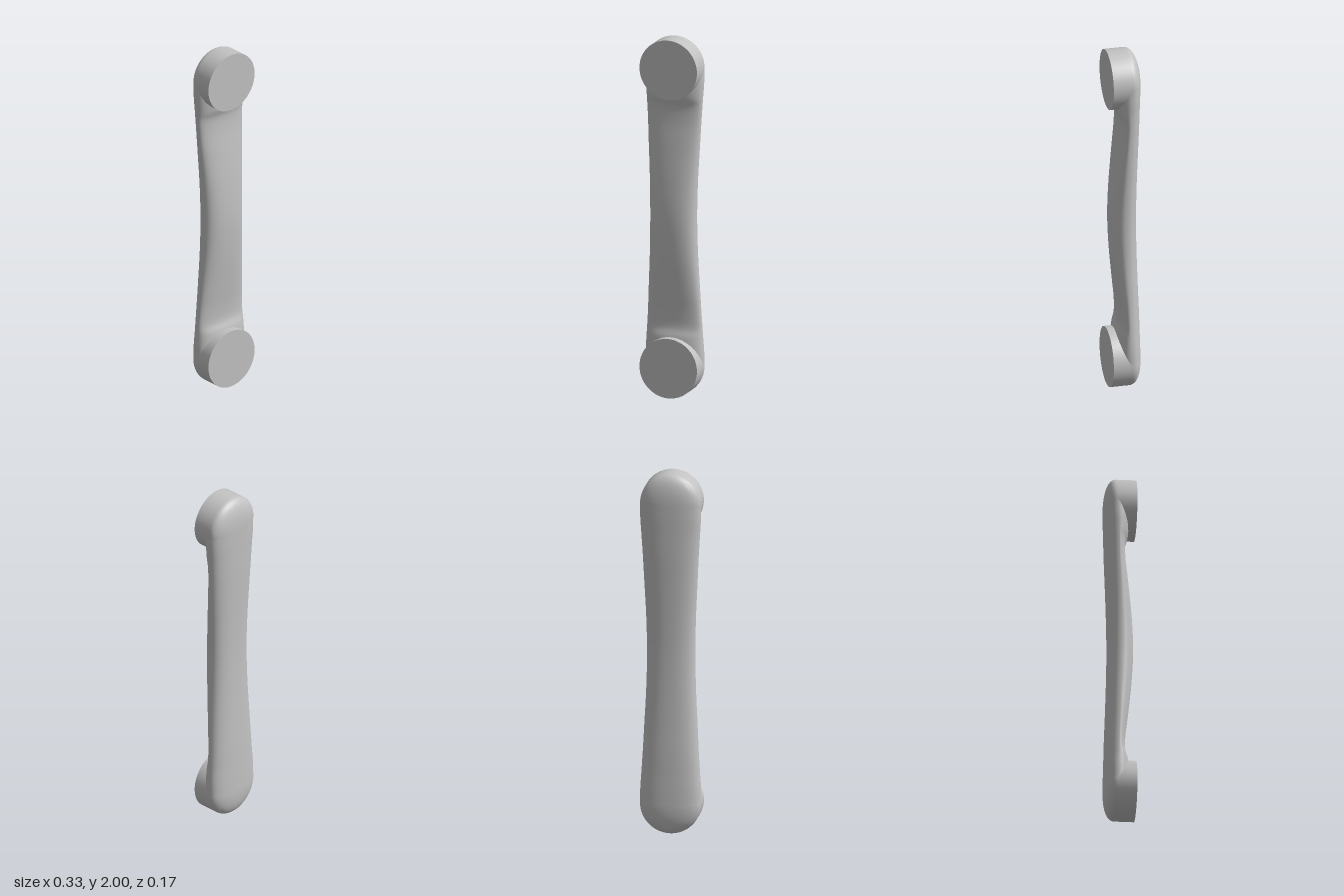
import * as THREE from 'three';
import { toCreasedNormals } from 'three/addons/utils/BufferGeometryUtils.js';

const R = 0.166; // mount radius
const metal = new THREE.MeshStandardMaterial({ color: 0xc2c2c2 });
metal.name = 'satin grey';

// Lower half of the grip: height, half width, side line z, back z, front z
const stations = [
  [0.166, 0.166, -0.020, -0.087, 0.055],
  [0.25, 0.165, -0.018, -0.086, 0.055],
  [0.33, 0.160, -0.014, -0.084, 0.046],
  [0.38, 0.157, -0.012, -0.083, 0.031],
  [0.46, 0.152, -0.010, -0.081, 0.031],
  [0.60, 0.145, -0.005, -0.076, 0.046],
  [0.80, 0.135, 0.000, -0.070, 0.066],
  [1.00, 0.131, 0.002, -0.067, 0.075],
];

// Rounded, slightly boxy cross-section swept up the grip
function gripGeometry() {
  const rows = [...stations, ...stations.slice(0, -1).reverse().map(([y, ...s]) => [2 - y, ...s])];
  const spline = (k) => new THREE.CatmullRomCurve3(
    rows.map((r) => new THREE.Vector3(r[k], r[0], 0)), false, 'centripetal');
  const curves = [1, 2, 3, 4].map(spline);
  const steps = 84, sides = 48, pos = [], index = [];
  const power = (v) => Math.sign(v) * Math.abs(v) ** (2 / 2.3);
  for (let j = 0; j <= steps; j++) {
    const [w, side, back, front] = curves.map((c) => c.getPoint(j / steps).x);
    const y = curves[0].getPoint(j / steps).y;
    for (let i = 0; i < sides; i++) {
      const a = (i / sides) * Math.PI * 2, s = power(Math.sin(a));
      pos.push(w * power(Math.cos(a)), y, side + (s > 0 ? s * (front - side) : -s * (back - side)));
      if (j < steps) {
        const p = j * sides + i, q = j * sides + (i + 1) % sides;
        index.push(p, p + sides, q, q, p + sides, q + sides);
      }
    }
  }
  const g = new THREE.BufferGeometry();
  g.setAttribute('position', new THREE.Float32BufferAttribute(pos, 3));
  g.setIndex(index);
  g.computeVertexNormals();
  return g;
}

// Round mount: domed back, straight wall, flat face at the front
function mountGeometry() {
  const profile = [];
  for (let i = 0; i <= 14; i++) {
    const a = (i / 14) * Math.PI / 2, e = 2 / 2.3;
    profile.push(new THREE.Vector2(R * Math.sin(a) ** e, -0.02 - 0.067 * Math.max(0, Math.cos(a)) ** e));
  }
  profile.push(new THREE.Vector2(R, 0.086), new THREE.Vector2(0, 0.086));
  const g = new THREE.LatheGeometry(profile, 64).rotateX(Math.PI / 2);
  return toCreasedNormals(g, 0.8);
}

export function createModel() {
  const group = new THREE.Group();
  group.name = 'pullHandle';
  const add = (name, geometry, y = 0) => {
    const mesh = new THREE.Mesh(geometry, metal);
    mesh.name = name;
    mesh.position.y = y;
    group.add(mesh);
  };
  add('grip', gripGeometry());
  const mount = mountGeometry();
  add('lowerMount', mount, R);
  add('upperMount', mount, 2 - R);
  return group;
}
